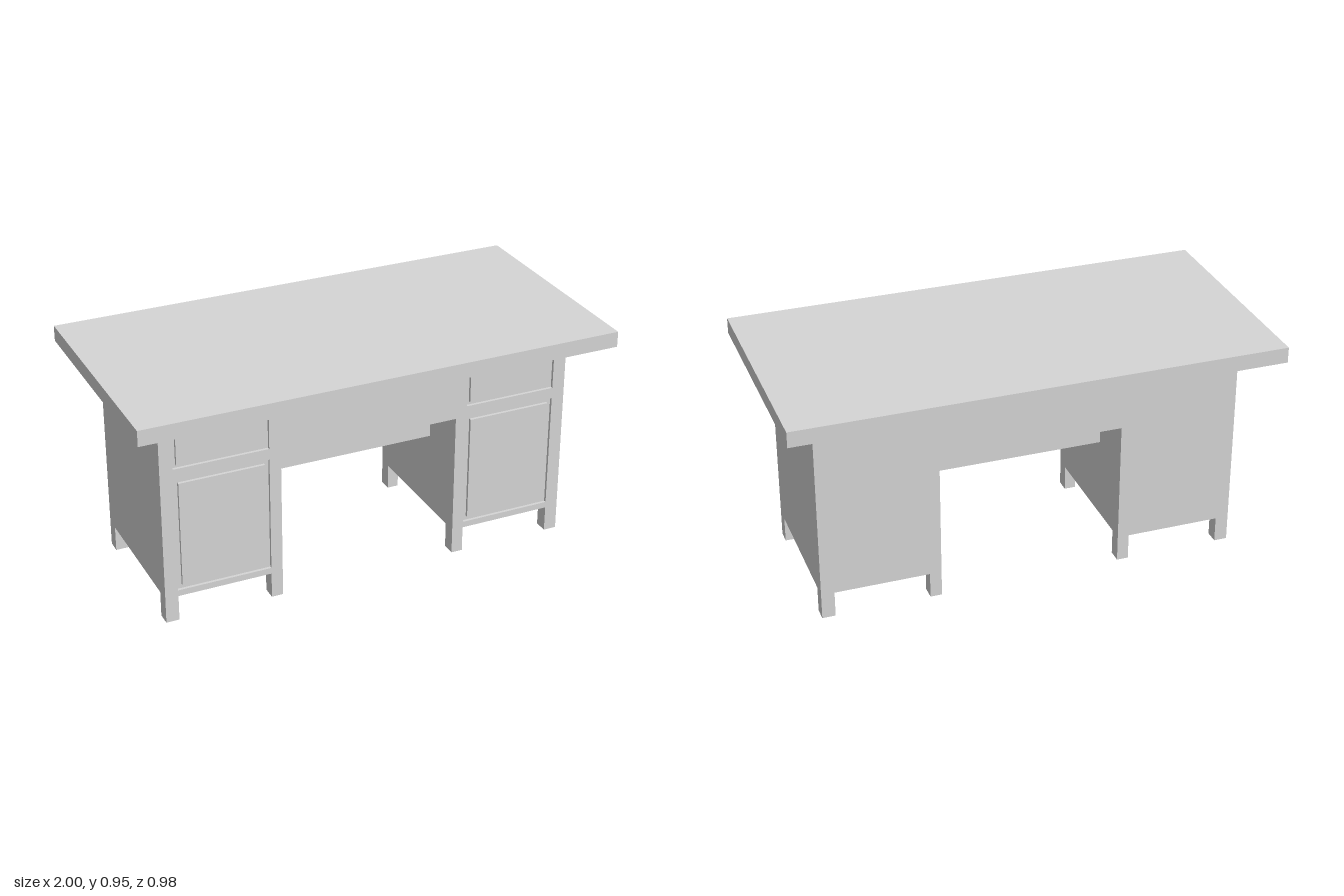
import * as THREE from 'three';

export function createModel() {
  const desk = new THREE.Group();
  desk.name = 'desk';
  const grey = new THREE.MeshStandardMaterial({ color: 0xd6d6d6 });
  grey.name = 'lightGrey';

  const add = (name, geometry) => {
    const mesh = new THREE.Mesh(geometry, grey);
    mesh.name = name;
    desk.add(mesh);
    return mesh;
  };
  // Box given by its minimum and maximum on each axis
  const box = (name, x0, x1, y0, y1, z0, z1) =>
    add(name, new THREE.BoxGeometry(x1 - x0, y1 - y0, z1 - z0))
      .position.set((x0 + x1) / 2, (y0 + y1) / 2, (z0 + z1) / 2);

  const BOTTOM = 0.108, UNDER_TOP = 0.883, KNEE = 0.619;
  const OUT = 0.869, IN = 0.377, FRONT = 0.326, GROOVE = 0.012;

  // Table top
  box('tableTop', -1, 1, UNDER_TOP, 0.948, -0.491, 0.491);

  // Two pedestals joined over the kneehole
  const outline = () => new THREE.Shape([
    [-OUT, BOTTOM], [-IN, BOTTOM], [-IN, KNEE], [IN, KNEE],
    [IN, BOTTOM], [OUT, BOTTOM], [OUT, UNDER_TOP], [-OUT, UNDER_TOP],
  ].map(([x, y]) => new THREE.Vector2(x, y)));
  const extrude = (shape, depth) => new THREE.ExtrudeGeometry(shape, { depth, bevelEnabled: false });
  add('carcass', extrude(outline(), 2 * FRONT - GROOVE)).position.z = -FRONT;

  // Front frame with openings for the drawers and doors
  const fronts = [
    { name: 'drawer', y0: 0.665, y1: 0.881, gap: 0.014 },
    { name: 'door', y0: 0.134, y1: 0.619, gap: 0.019 },
  ];
  const frame = outline();
  for (const side of [-1, 1]) {
    for (const { name, y0, y1, gap } of fronts) {
      const [x0, x1] = side < 0 ? [-0.815, -0.425] : [0.425, 0.815];
      frame.holes.push(new THREE.Path([
        new THREE.Vector2(x0, y0), new THREE.Vector2(x0, y1),
        new THREE.Vector2(x1, y1), new THREE.Vector2(x1, y0),
      ]));
      // Panel set inside its groove
      box(name + (side < 0 ? 'Right' : 'Left'), x0 + gap, x1 - gap, y0 + gap, y1 - gap,
        FRONT - GROOVE, FRONT);
    }
  }
  add('frontFrame', extrude(frame, GROOVE)).position.z = FRONT - GROOVE;

  // Four short legs under each pedestal
  for (const [x0, x1] of [[-OUT, -0.815], [-0.425, -IN], [IN, 0.425], [0.815, OUT]]) {
    box('frontLeg', x0, x1, 0, BOTTOM, 0.269, FRONT);
    box('backLeg', x0, x1, 0, BOTTOM, -FRONT, -0.269);
  }

  // Cross box hanging in the kneehole
  box('kneeholeBox', -IN, IN, 0.439, KNEE, -0.11, 0.11);

  return desk;
}
